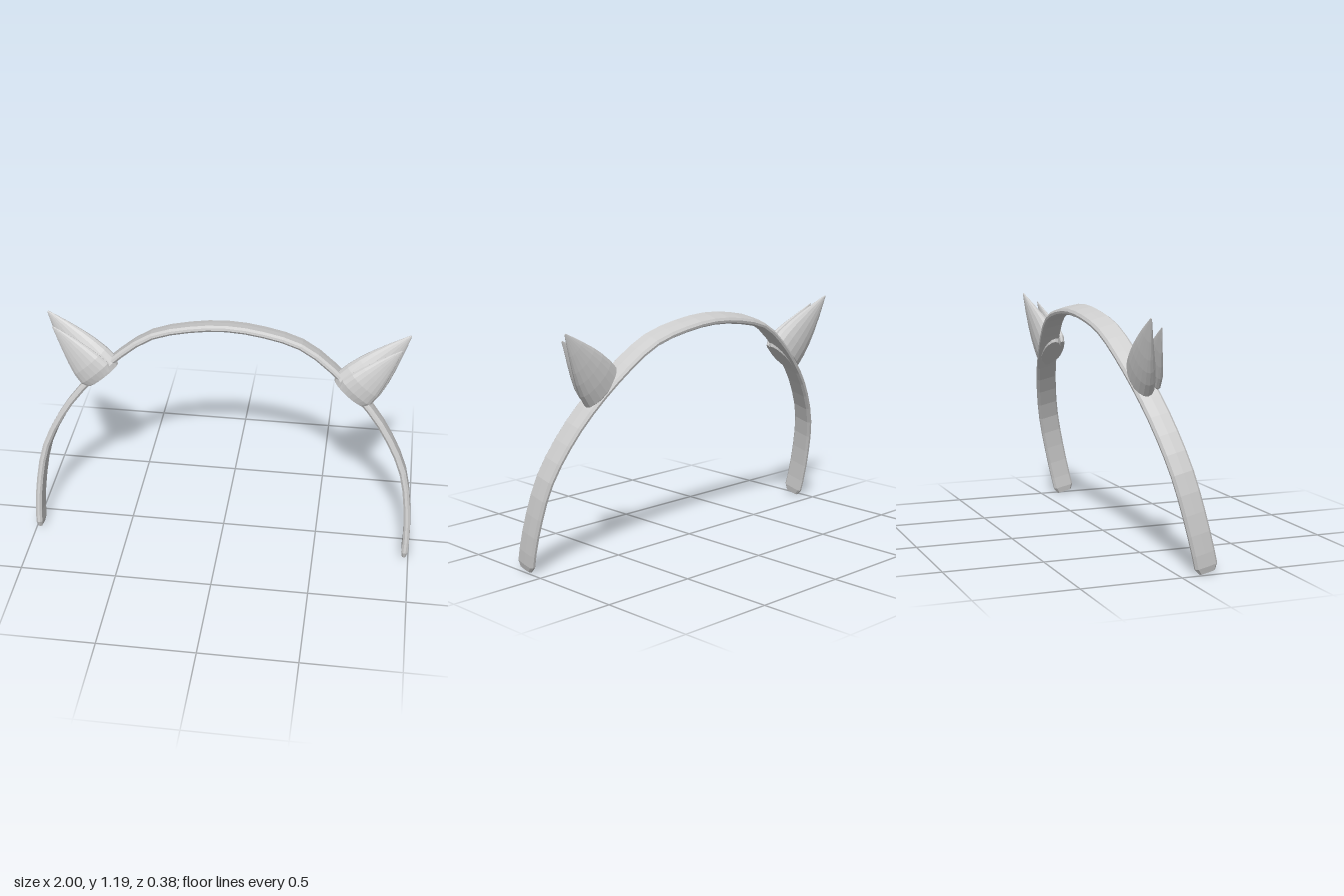
import * as THREE from 'three';

const grey = new THREE.MeshStandardMaterial({ color: 0xcccccc, flatShading: true });
grey.name = 'light grey';

// Skin a list of equal-length rings and close both ends; faces are turned outward.
function loft(rings) {
  const n = rings[0].length;
  const points = rings.flat();
  const index = [];
  for (let i = 0; i < rings.length - 1; i++) {
    for (let j = 0; j < n; j++) {
      const a = i * n + j, b = i * n + (j + 1) % n;
      index.push(a, b, b + n, a, b + n, a + n);
    }
  }
  const last = (rings.length - 1) * n;
  for (let j = 1; j < n - 1; j++) {
    index.push(0, j + 1, j, last, last + j, last + j + 1);
  }
  let volume = 0;
  const cross = new THREE.Vector3();
  for (let i = 0; i < index.length; i += 3) {
    cross.crossVectors(points[index[i + 1]], points[index[i + 2]]);
    volume += points[index[i]].dot(cross);
  }
  if (volume < 0) index.reverse();
  const geometry = new THREE.BufferGeometry().setFromPoints(points);
  geometry.setIndex(index);
  geometry.computeVertexNormals();
  return geometry;
}

// Flat bevelled strip swept along the arch, with tapered ends.
function bandGeometry() {
  const half = [[0.978, 0], [0.98, 0.17], [0.94, 0.46], [0.86, 0.64], [0.755, 0.795],
    [0.57, 0.985], [0.39, 1.115], [0.2, 1.168]];
  const path = [
    ...half.map(([x, y]) => new THREE.Vector3(-x, y, 0)),
    new THREE.Vector3(0, 1.188, 0),
    ...half.map(([x, y]) => new THREE.Vector3(x, y, 0)).reverse(),
  ];
  const curve = new THREE.CatmullRomCurve3(path, false, 'centripetal');
  // section: [across thickness, across width]
  const section = [[0.006, 0.057], [0.017, 0.046], [0.019, 0], [0.017, -0.046],
    [0.006, -0.057], [-0.006, -0.057], [-0.016, -0.046], [-0.016, 0.046], [-0.006, 0.057]];
  const steps = [0, 0.009];
  for (let i = 1; i < 36; i++) steps.push(i / 36);
  steps.push(0.991, 1);
  const rings = steps.map((u) => {
    const p = curve.getPointAt(u), t = curve.getTangentAt(u);
    const end = u === 0 || u === 1;
    return section.map(([a, w]) => {
      const k = end ? a * 0.6 : a;
      return new THREE.Vector3(p.x - t.y * k, p.y + t.x * k, end ? w * 0.7 : w);
    });
  });
  return loft(rings);
}

// Tapering elliptical cone leaning outward.
// profile rows: [distance along axis, half width, centre z, half depth]
function earGeometry(base, tip, profile, side) {
  const axis = new THREE.Vector2(tip[0] - base[0], tip[1] - base[1]);
  const length = axis.length();
  axis.normalize();
  const sides = 18;
  const rings = profile.map(([s, width, z, depth]) => {
    const ring = [];
    for (let j = 0; j < sides; j++) {
      const angle = (j / sides) * Math.PI * 2;
      const across = Math.cos(angle) * width;
      ring.push(new THREE.Vector3(
        side * (base[0] + axis.x * s * length + axis.y * across),
        base[1] + axis.y * s * length - axis.x * across,
        z + Math.sin(angle) * depth,
      ));
    }
    return ring;
  });
  return loft(rings);
}

export function createModel() {
  const model = new THREE.Group();
  model.name = 'catEarHeadband';

  const add = (name, geometry, parent) => {
    const mesh = new THREE.Mesh(geometry, grey);
    mesh.name = name;
    parent.add(mesh);
    return mesh;
  };

  // Band, leaning back
  const band = add('band', bandGeometry(), model);
  band.rotation.x = -0.235;
  band.position.set(0, 0.012, 0.137);

  const outerProfile = [
    [0, 0.108, -0.062, 0.05], [0.07, 0.127, -0.067, 0.062], [0.24, 0.12, -0.077, 0.058],
    [0.4, 0.104, -0.089, 0.048], [0.55, 0.083, -0.1, 0.037], [0.75, 0.05, -0.113, 0.022],
    [0.95, 0.014, -0.124, 0.007], [1, 0.004, -0.127, 0.003],
  ];
  const innerProfile = [
    [0, 0.085, -0.01, 0.022], [0.1, 0.1, -0.011, 0.031], [0.27, 0.092, -0.017, 0.032],
    [0.45, 0.075, -0.028, 0.026], [0.65, 0.051, -0.04, 0.017], [0.85, 0.024, -0.05, 0.008],
    [1, 0.003, -0.056, 0.002],
  ];

  // Ears: an outer cone with a smaller one set in front
  for (const [label, side] of [['left', 1], ['right', -1]]) {
    const ear = new THREE.Group();
    ear.name = label + 'Ear';
    add(label + 'OuterEar', earGeometry([0.635, 0.875], [0.92, 1.193], outerProfile, side), ear);
    add(label + 'InnerEar', earGeometry([0.645, 0.888], [0.882, 1.147], innerProfile, side), ear);
    model.add(ear);
  }
  return model;
}
